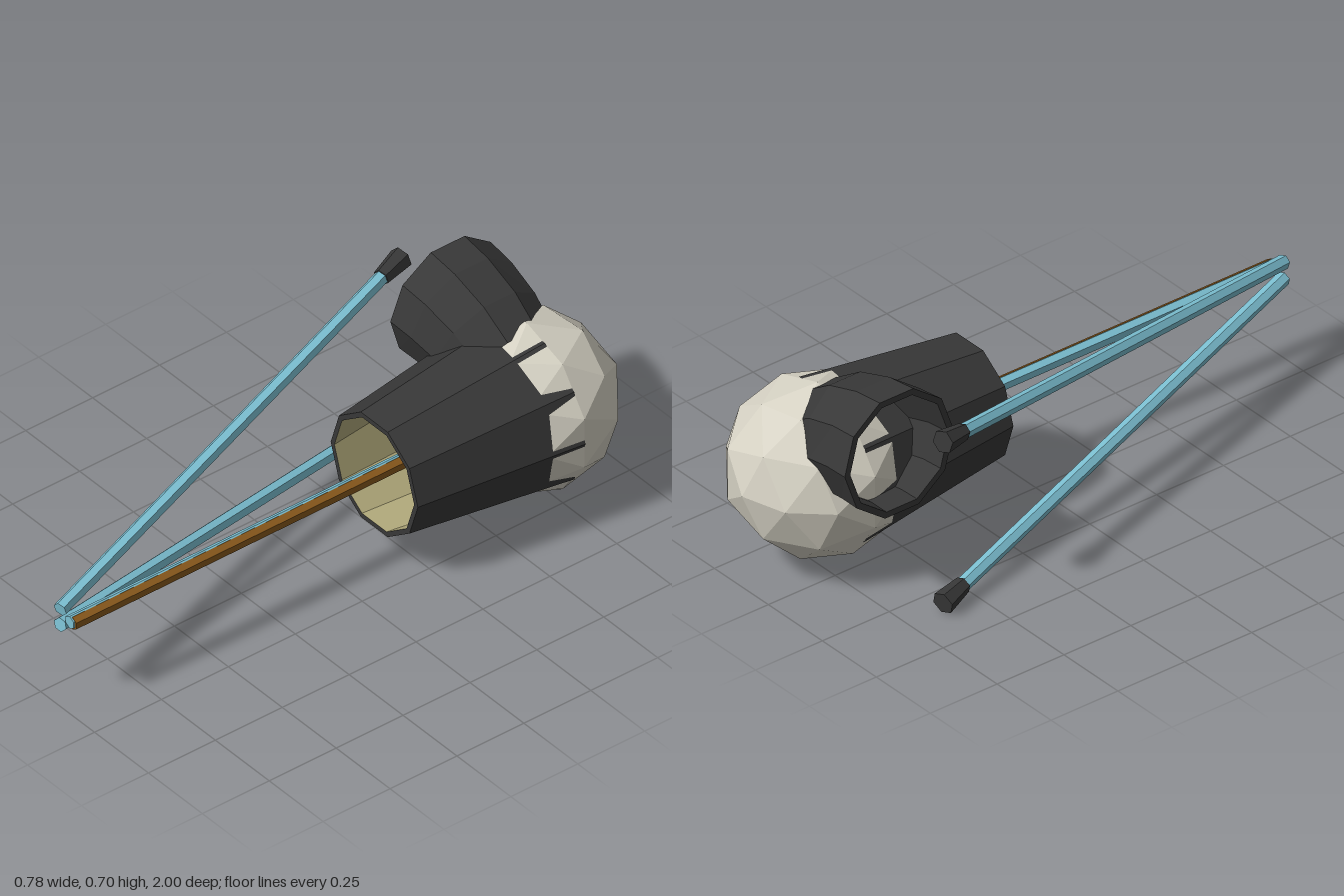
import * as THREE from 'three';

const mat = (color) => new THREE.MeshStandardMaterial({ color, flatShading: true, side: THREE.DoubleSide });
const DARK = mat(0x383838), BONE = mat(0xd6d2c4), BLUE = mat(0x7cc0d2);
const BROWN = mat(0x8a5a1c), OLIVE = mat(0xb8b080), TEAL = mat(0x8cc4b4);

const CX = 0.12, CY = 0.312, BALL_Z = -0.72;
const SIDES = 10;

// Joins rings of SIDES points into an open skin
function skin(rings) {
  const index = [];
  for (let r = 0; r < rings.length - 1; r++) {
    for (let i = 0; i < SIDES; i++) {
      const a = r * SIDES + i, b = r * SIDES + (i + 1) % SIDES;
      index.push(a, b, a + SIDES, b, b + SIDES, a + SIDES);
    }
  }
  const geo = new THREE.BufferGeometry();
  geo.setAttribute('position', new THREE.Float32BufferAttribute(rings.flat(2), 3));
  geo.setIndex(index);
  geo.computeVertexNormals();
  return geo;
}

// Ring around the z axis of the sleeve
function sleeveRing(radius, z) {
  return Array.from({ length: SIDES }, (_, i) => {
    const a = i / SIDES * Math.PI * 2;
    return [CX + radius * Math.cos(a), CY + radius * Math.sin(a), z];
  });
}

// Ring of the bent scoop, from its top and bottom points in the xy plane
function scoopRing([tx, ty, bx, by], scale) {
  const mx = (tx + bx) / 2, my = (ty + by) / 2;
  const k = scale / Math.cos(Math.PI / SIDES);
  const r = Math.hypot(tx - bx, ty - by) / 2 * k;
  return Array.from({ length: SIDES }, (_, i) => {
    const a = i / SIDES * Math.PI * 2;
    const s = Math.sin(a) * k / 1;
    return [mx + (tx - mx) * s * 1.0, my + (ty - my) * s, -0.69 + r * Math.cos(a)];
  });
}

// Six-sided bar between two points
function bar(name, from, to, r0, r1, material) {
  const a = new THREE.Vector3(...from), b = new THREE.Vector3(...to);
  const dir = b.clone().sub(a);
  const mesh = new THREE.Mesh(new THREE.CylinderGeometry(r1, r0, dir.length(), 6), material);
  mesh.name = name;
  mesh.position.copy(a).add(b).multiplyScalar(0.5);
  mesh.quaternion.setFromUnitVectors(new THREE.Vector3(0, 1, 0), dir.normalize());
  return mesh;
}

export function createModel() {
  const model = new THREE.Group();
  const add = (name, geo, material) => {
    const mesh = new THREE.Mesh(geo, material);
    mesh.name = name;
    model.add(mesh);
    return mesh;
  };

  // Faceted ball with a corner pointing straight back
  const ball = new THREE.IcosahedronGeometry(0.282, 1);
  ball.rotateX(Math.atan(2 / (1 + Math.sqrt(5)))).rotateZ(Math.PI / 2);
  add('ball', ball, BONE).position.set(CX, CY, BALL_Z);

  // Tapered sleeve: dark outside and rim, pale lining
  add('sleeve', skin([sleeveRing(0.272, BALL_Z), sleeveRing(0.202, -0.15), sleeveRing(0.185, -0.15)]), DARK);
  add('sleeveLining', skin([sleeveRing(0.185, -0.15), sleeveRing(0.252, BALL_Z)]), OLIVE);

  // Small lens on the front of the ball
  const lens = new THREE.SphereGeometry(0.093, SIDES, 8).rotateX(Math.PI / 2);
  add('lens', lens, TEAL).position.set(CX, CY, BALL_Z + 0.28);

  // Side scoop: thick-walled bent pipe, open on the right side
  const sections = [
    [-0.21, 0.70, -0.235, 0.313],
    [-0.10, 0.685, -0.17, 0.312],
    [0.03, 0.64, -0.10, 0.305],
    [0.135, 0.57, -0.02, 0.28],
  ];
  const outer = sections.map((s) => scoopRing(s, 1)).reverse();
  const inner = sections.map((s) => scoopRing(s, 0.9));
  add('scoop', skin([...outer, ...inner]), DARK);

  // Central beam with its brown backing
  model.add(bar('centralBeam', [0.116, CY + 0.001, 0.985], [0.116, CY + 0.001, -0.5], 0.022, 0.022, BLUE));
  model.add(bar('beamBacking', [0.122, CY - 0.001, 0.98], [0.122, CY - 0.001, -0.5], 0.022, 0.022, BROWN));

  // Two diverging beams with flared dark tips, mirrored about the centre height
  for (const side of [1, -1]) {
    const arm = new THREE.Group();
    arm.name = side > 0 ? 'upperBeam' : 'lowerBeam';
    const start = [0.078, CY + side * 0.028, 0.99];
    const joint = [-0.332, CY + side * 0.265, -0.54];
    const end = [-0.356, CY + side * 0.279, -0.635];
    arm.add(bar('beam', start, joint, 0.023, 0.023, BLUE));
    arm.add(bar('beamTip', joint, end, 0.027, 0.037, DARK));
    model.add(arm);
  }
  return model;
}
